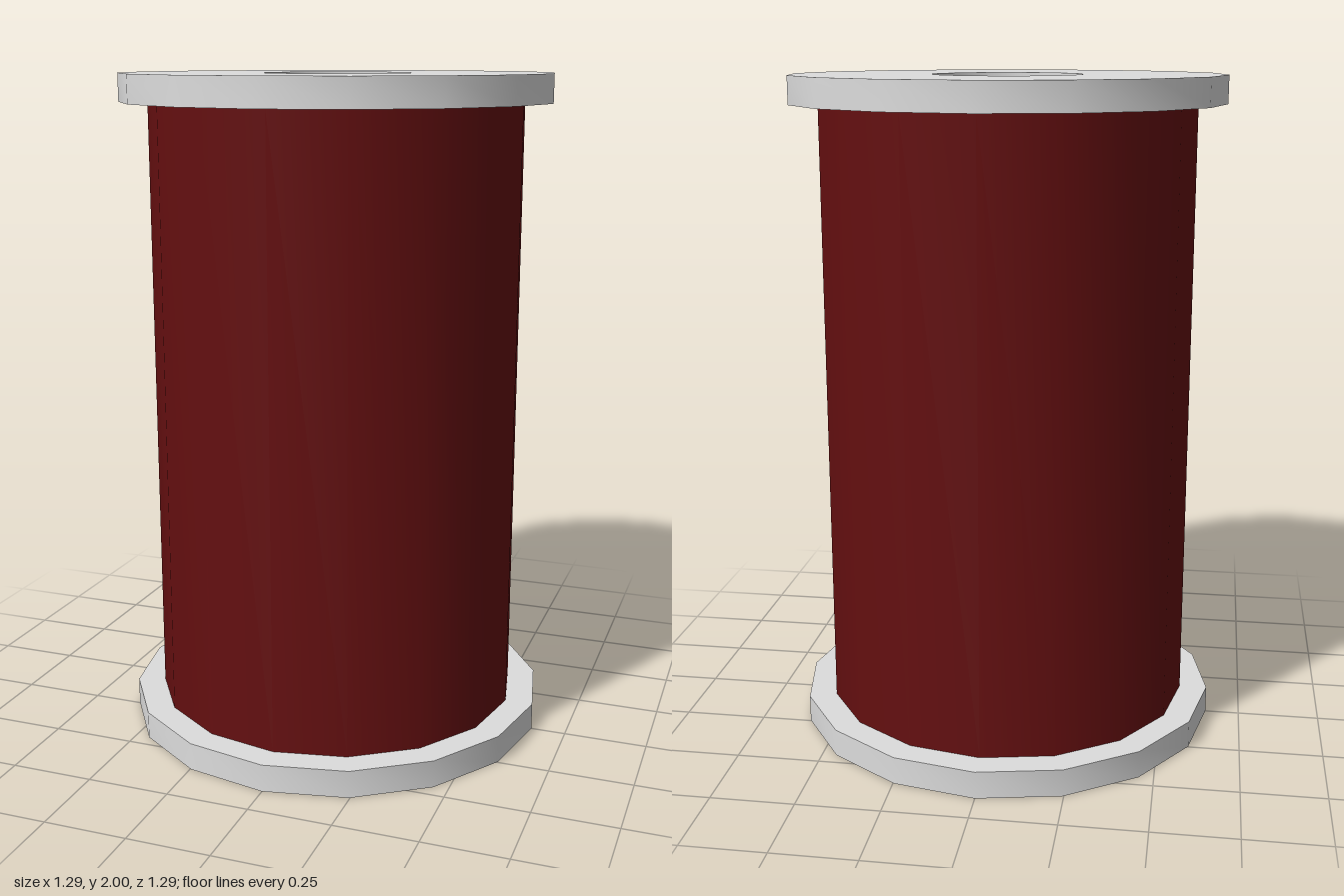
import * as THREE from 'three';
import { toCreasedNormals } from 'three/addons/utils/BufferGeometryUtils.js';

const SIDES = 16;
const HEIGHT = 2;
const FLANGE_H = 0.083;
const FLANGE_R = 0.645;
const BORE_R = 0.225;
const CORE_R = 0.3;
const THREAD_R = 0.56;

// Revolve a closed profile, round sides smooth and rims sharp
function turned(name, profile, material) {
  const points = profile.map(([r, y]) => new THREE.Vector2(r, y));
  const geometry = toCreasedNormals(new THREE.LatheGeometry(points, SIDES), 0.7);
  const mesh = new THREE.Mesh(geometry, material);
  mesh.name = name;
  return mesh;
}

export function createModel() {
  const plastic = new THREE.MeshStandardMaterial({ color: 0xdddddd });
  plastic.name = 'pale grey plastic';
  const red = new THREE.MeshStandardMaterial({ color: 0x640f10 });
  red.name = 'dark red thread';

  const group = new THREE.Group();
  group.name = 'threadSpool';
  const top = HEIGHT - FLANGE_H;

  // Spool: two flanges joined by a hollow core
  group.add(turned('spool', [
    [BORE_R, 0], [FLANGE_R, 0], [FLANGE_R, FLANGE_H], [CORE_R, FLANGE_H],
    [CORE_R, top], [FLANGE_R, top], [FLANGE_R, HEIGHT], [BORE_R, HEIGHT], [BORE_R, 0],
  ], plastic));

  // Wound thread between the flanges
  group.add(turned('thread', [[THREAD_R, FLANGE_H], [THREAD_R, top]], red));

  return group;
}
